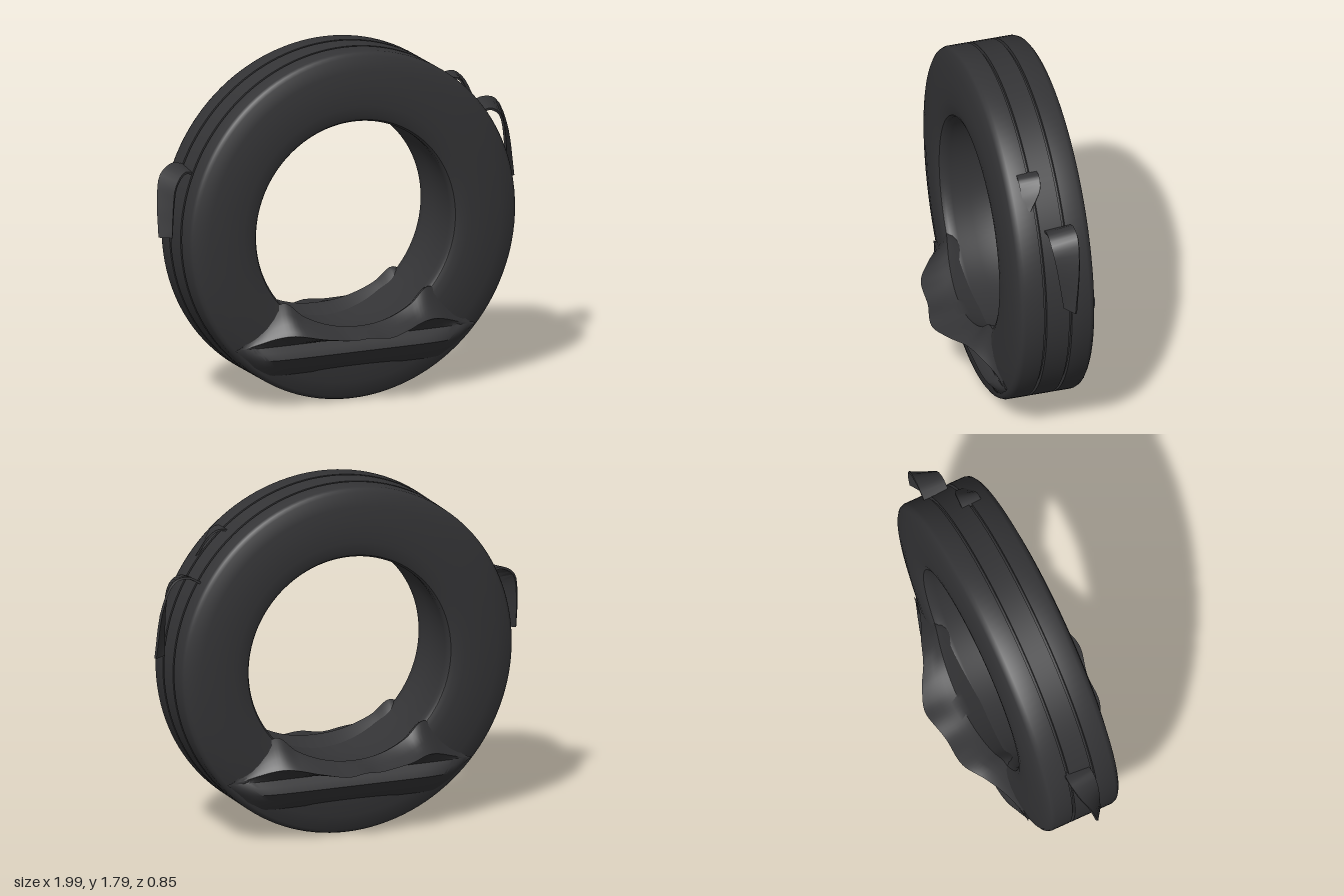
import * as THREE from 'three';
import { toCreasedNormals } from 'three/addons/utils/BufferGeometryUtils.js';

const rubber = new THREE.MeshStandardMaterial({ color: 0x343436, side: THREE.DoubleSide });
const AXLE = 0.9;

function addMesh(parent, name, geometry, crease = 0.6) {
  const mesh = new THREE.Mesh(toCreasedNormals(geometry, crease), rubber);
  mesh.name = name;
  parent.add(mesh);
  return mesh;
}

// Skin over a grid of points: point(u, v) with u, v as integer indices
function gridSurface(nu, nv, point) {
  const pos = [], idx = [];
  for (let j = 0; j <= nv; j++) for (let i = 0; i <= nu; i++) pos.push(...point(i, j));
  for (let j = 0; j < nv; j++) for (let i = 0; i < nu; i++) {
    const a = j * (nu + 1) + i, b = a + 1, c = a + nu + 1, d = c + 1;
    idx.push(a, c, b, b, c, d);
  }
  const g = new THREE.BufferGeometry();
  g.setAttribute('position', new THREE.Float32BufferAttribute(pos, 3));
  g.setIndex(idx);
  return g;
}

// Smooth interpolation through [x, value] pairs
function smoothTable(table) {
  return x => {
    if (x <= table[0][0]) return table[0][1];
    for (let i = 1; i < table.length; i++) {
      const [x0, y0] = table[i - 1], [x1, y1] = table[i];
      if (x <= x1) {
        const slope = k => k <= 0 || k >= table.length - 1 ? 0
          : (table[k + 1][1] - table[k - 1][1]) / (table[k + 1][0] - table[k - 1][0]);
        const h = x1 - x0, t = (x - x0) / h, t2 = t * t, t3 = t2 * t;
        return (2 * t3 - 3 * t2 + 1) * y0 + (t3 - 2 * t2 + t) * h * slope(i - 1)
          + (3 * t2 - 2 * t3) * y1 + (t3 - t2) * h * slope(i);
      }
    }
    return table[table.length - 1][1];
  };
}

// Tyre ring: half profile (radius, z) mirrored, with two tread grooves
function tyreGeometry() {
  const half = [
    [0.895, 0.058], [0.875, 0.059], [0.875, 0.071], [0.895, 0.072], [0.895, 0.165],
    [0.888, 0.182], [0.872, 0.193], [0.80, 0.207], [0.74, 0.216], [0.68, 0.22],
    [0.62, 0.219], [0.575, 0.214], [0.55, 0.204], [0.54, 0.188], [0.541, 0.15], [0.55, 0.06],
  ];
  const points = [
    ...half.slice().reverse().map(([r, z]) => new THREE.Vector2(r, -z)),
    ...half.map(([r, z]) => new THREE.Vector2(r, z)),
  ];
  points.push(points[0].clone());
  return new THREE.LatheGeometry(points, 128).rotateX(Math.PI / 2).translate(0, AXLE, 0);
}

// Squashed sidewall: an overhanging wavy fold above a lower crease
const rimY = smoothTable([[0, 0.4], [0.1, 0.407], [0.2, 0.432], [0.3, 0.478], [0.4, 0.55], [0.52, 0.45], [0.65, 0.335]]);
const foldZ = smoothTable([[-0.65, 0.205], [-0.52, 0.24], [-0.4, 0.305], [-0.27, 0.38], [-0.1, 0.392],
  [0.07, 0.424], [0.2, 0.38], [0.3, 0.325], [0.42, 0.28], [0.55, 0.222], [0.65, 0.205]]);
const foldY = smoothTable([[-0.65, 0.333], [-0.4, 0.4], [-0.22, 0.382], [-0.1, 0.365], [0, 0.374],
  [0.1, 0.365], [0.22, 0.38], [0.4, 0.4], [0.65, 0.333]]);

function foldSection(t) {
  const x = t * 0.65, bell = 1 - t ** 8;
  const ry = rimY(Math.abs(x)), fy = foldY(x), fz = foldZ(x);
  const rz = 0.205 + 0.045 * Math.max(0, 1 - (x / 0.42) ** 2);
  const slope = (a, b) => [x, ry + (fy - ry) * a, rz + (fz - rz) * b];
  return [
    [x, ry - 0.045, 0.14],
    [x, ry - 0.012, rz - 0.03],
    [x, ry, rz],
    slope(0.35, 0.22), slope(0.65, 0.5), slope(0.88, 0.8),
    [x, fy, fz],
    [x, fy - 0.014, 0.2 + (fz - 0.2) * 0.7],
    [t * 0.66, 0.333, 0.2 + 0.024 * bell],
    [t * 0.63, 0.305, 0.2 + 0.05 * bell],
    [t * 0.59, 0.27, 0.2 + 0.065 * bell],
    [t * 0.55, 0.23, 0.195 + 0.043 * bell],
    [t * 0.48, 0.18, 0.19 + 0.023 * bell],
    [t * 0.47, 0.165, 0.18],
  ];
}

function foldGeometry(side) {
  const n = 72;
  const sections = Array.from({ length: n + 1 }, (_, i) => foldSection(i / n * 2 - 1));
  return gridSurface(n, sections[0].length - 1, (i, j) => {
    const [x, y, z] = sections[i][j];
    return [x, y, z * side];
  });
}

// Peeling tread strip: a ribbon between two edge curves, with a little thickness
function stripGeometry(edgeA, edgeB, thickness) {
  const curve = pts => new THREE.CatmullRomCurve3(pts.map(p => new THREE.Vector3(...p)));
  const a = curve(edgeA), b = curve(edgeB), n = 14;
  const rings = [];
  for (let i = 0; i <= n; i++) {
    const t = i / n, pa = a.getPoint(t), pb = b.getPoint(t);
    const normal = a.getTangent(t).add(b.getTangent(t)).cross(pb.clone().sub(pa)).normalize()
      .multiplyScalar(thickness / 2);
    const ring = [pa.clone().add(normal), pb.clone().add(normal), pb.clone().sub(normal), pa.clone().sub(normal)];
    if (i === 0 || i === n) {
      const mid = pa.clone().add(pb).multiplyScalar(0.5);
      const cap = ring.map(() => mid);
      rings.push(...(i === 0 ? [cap, ring] : [ring, cap]));
    } else rings.push(ring);
  }
  return gridSurface(4, rings.length - 1, (i, j) => rings[j][i % 4].toArray());
}

export function createModel() {
  const model = new THREE.Group();
  model.name = 'wornTyre';
  addMesh(model, 'tyreRing', tyreGeometry());

  const folds = new THREE.Group();
  folds.name = 'sidewallFolds';
  model.add(folds);
  addMesh(folds, 'frontFold', foldGeometry(1), 0.7);
  addMesh(folds, 'backFold', foldGeometry(-1), 0.7);

  // Loose strips lifting off the tread
  const strips = new THREE.Group();
  strips.name = 'looseTreadStrips';
  model.add(strips);
  addMesh(strips, 'rightStrip', stripGeometry(
    [[-0.81, 1.24, -0.08], [-0.875, 1.255, -0.08], [-0.95, 1.21, -0.06], [-0.985, 1.09, -0.02], [-0.995, 0.91, 0.015]],
    [[-0.82, 1.23, 0.05], [-0.87, 1.235, 0.055], [-0.915, 1.17, 0.055], [-0.93, 1.07, 0.055], [-0.938, 0.91, 0.055]],
    0.012));
  addMesh(strips, 'leftStrip', stripGeometry(
    [[0.76, 1.365, -0.1], [0.83, 1.4, -0.1], [0.905, 1.385, -0.1], [0.965, 1.25, -0.09], [0.993, 0.99, -0.065]],
    [[0.77, 1.36, 0.035], [0.82, 1.375, 0.035], [0.875, 1.34, 0.03], [0.91, 1.22, 0.01], [0.928, 0.99, -0.022]],
    0.012));
  addMesh(strips, 'smallLeftStrip', stripGeometry(
    [[0.56, 1.585, 0.02], [0.62, 1.59, 0.02], [0.67, 1.55, 0.03], [0.705, 1.45, 0.09]],
    [[0.56, 1.585, 0.125], [0.605, 1.575, 0.125], [0.645, 1.52, 0.12], [0.69, 1.455, 0.108]],
    0.01));
  return model;
}
